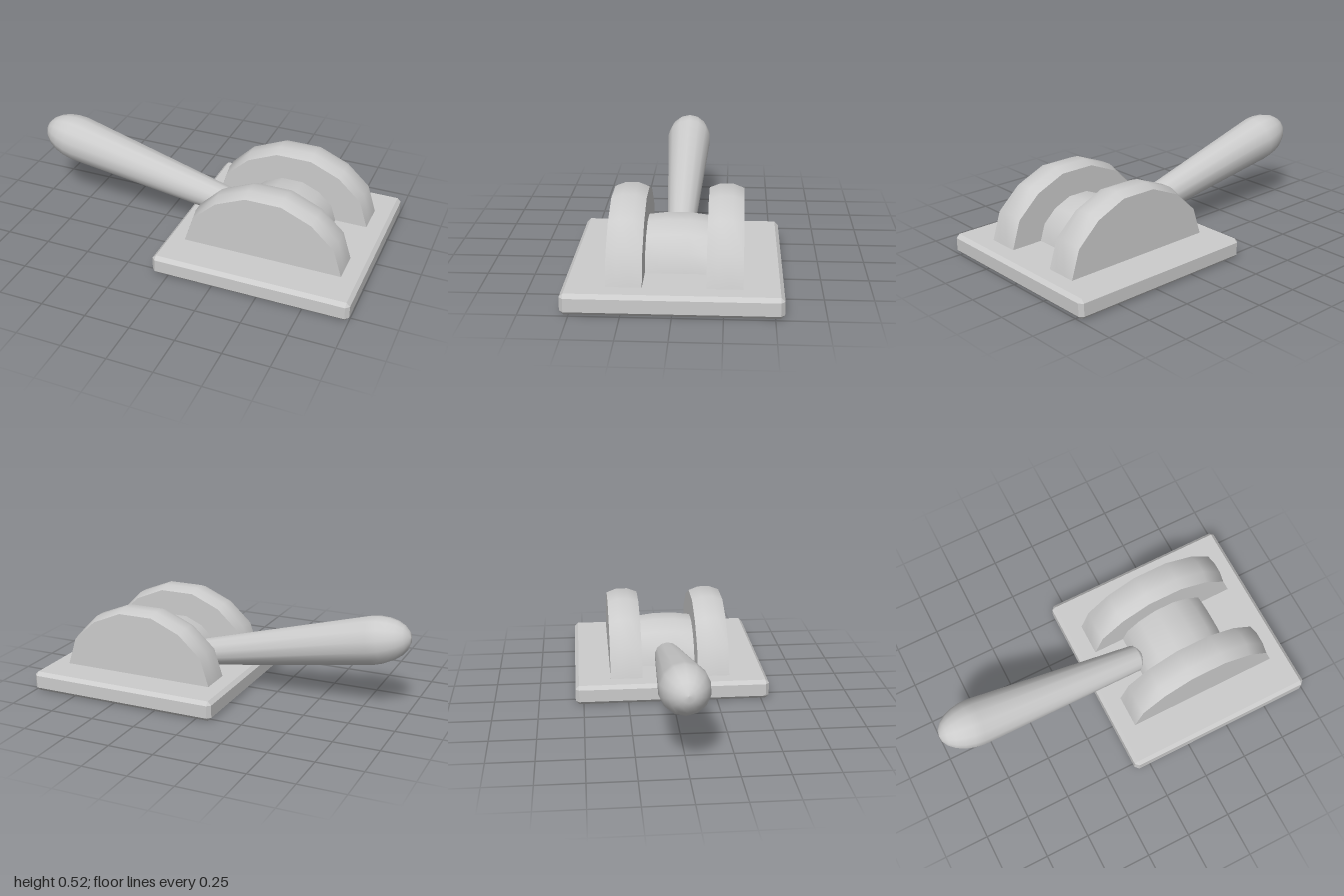
import * as THREE from 'three';
import { mergeGeometries } from 'three/addons/utils/BufferGeometryUtils.js';
import { ConvexGeometry } from 'three/addons/geometries/ConvexGeometry.js';

const material = new THREE.MeshStandardMaterial({ color: 0xcccccc });
const CENTER_X = 0.453, BASE_TOP = 0.11, MID_Z = -0.0075;

// Right half of the arch outline, from the foot up; the rims sit lower than the crown.
const CROWN = [[0.45, -0.04], [0.44, 0], [0.398, 0.168], [0.275, 0.291], [0.099, 0.363]];
const RIM = [[0.45, -0.04], [0.44, 0], [0.391, 0.153], [0.264, 0.27], [0.099, 0.341]];

function addMesh(parent, geometry, name) {
  const mesh = new THREE.Mesh(geometry, material);
  mesh.name = name;
  parent.add(mesh);
  return mesh;
}

function fullOutline(half, scale) {
  const right = half.map(([x, y]) => [x * scale, y * scale]);
  return [...right, ...right.map(([x, y]) => [-x, y]).reverse()];
}

// Half-round block with a slightly crowned rim, running along z
function archGeometry(scale, halfWidth) {
  const crown = fullOutline(CROWN, scale);
  const rim = fullOutline(RIM, scale);
  const sections = [[-1, rim], [-0.37, crown], [0.37, crown], [1, rim]];
  const positions = [], index = [], n = rim.length;
  sections.forEach(([t, outline], i) => {
    outline.forEach(([x, y], j) => {
      positions.push(x, y, t * halfWidth);
      if (i < sections.length - 1 && j < n - 1) {
        const a = i * n + j, b = a + 1, c = b + n, d = a + n;
        index.push(a, b, c, a, c, d);
      }
    });
  });
  const shell = new THREE.BufferGeometry();
  shell.setAttribute('position', new THREE.Float32BufferAttribute(positions, 3));
  shell.setIndex(index);
  shell.computeVertexNormals();

  // Flat end faces
  const shape = new THREE.Shape(rim.map(([x, y]) => new THREE.Vector2(x, y)));
  const front = new THREE.ShapeGeometry(shape).translate(0, 0, halfWidth);
  front.deleteAttribute('uv');
  const back = front.clone().rotateY(Math.PI);
  return mergeGeometries([shell, front, back]);
}

// Box with every edge chamfered
function chamferBox(hx, hy, hz, c) {
  const points = [];
  for (const x of [-1, 1]) for (const y of [-1, 1]) for (const z of [-1, 1]) {
    points.push(
      new THREE.Vector3(x * hx, y * (hy - c), z * (hz - c)),
      new THREE.Vector3(x * (hx - c), y * hy, z * (hz - c)),
      new THREE.Vector3(x * (hx - c), y * (hy - c), z * hz));
  }
  return new ConvexGeometry(points);
}

export function createModel() {
  const group = new THREE.Group();
  group.name = 'lever';

  // Base plate
  addMesh(group, chamferBox(0.545, 0.055, 0.545, 0.02), 'basePlate')
    .position.set(0.455, 0.055, 0);

  // Two side arches and the smaller hub between them
  for (const side of [1, -1]) {
    addMesh(group, archGeometry(1, 0.09), side > 0 ? 'frontArch' : 'backArch')
      .position.set(CENTER_X, BASE_TOP, MID_Z + side * 0.2475);
  }
  addMesh(group, archGeometry(0.592, 0.1575), 'hub')
    .position.set(CENTER_X, BASE_TOP, MID_Z);

  // Tapered handle with a rounded grip end, tilted down into the hub
  const profile = [];
  for (let i = 0; i <= 6; i++) {
    const a = (i / 6) * Math.PI / 2;
    profile.push(new THREE.Vector2(0.132 * Math.sin(a), -0.213 * Math.cos(a)));
  }
  profile.push(
    new THREE.Vector2(0.076, 1.0),
    new THREE.Vector2(0.045, 1.03),
    new THREE.Vector2(0, 1.035));
  const handle = addMesh(group, new THREE.LatheGeometry(profile, 14, Math.PI * 1.5), 'handle');
  handle.position.set(-0.788, 0.386, MID_Z);
  handle.rotation.z = -THREE.MathUtils.degToRad(102.2);

  return group;
}
